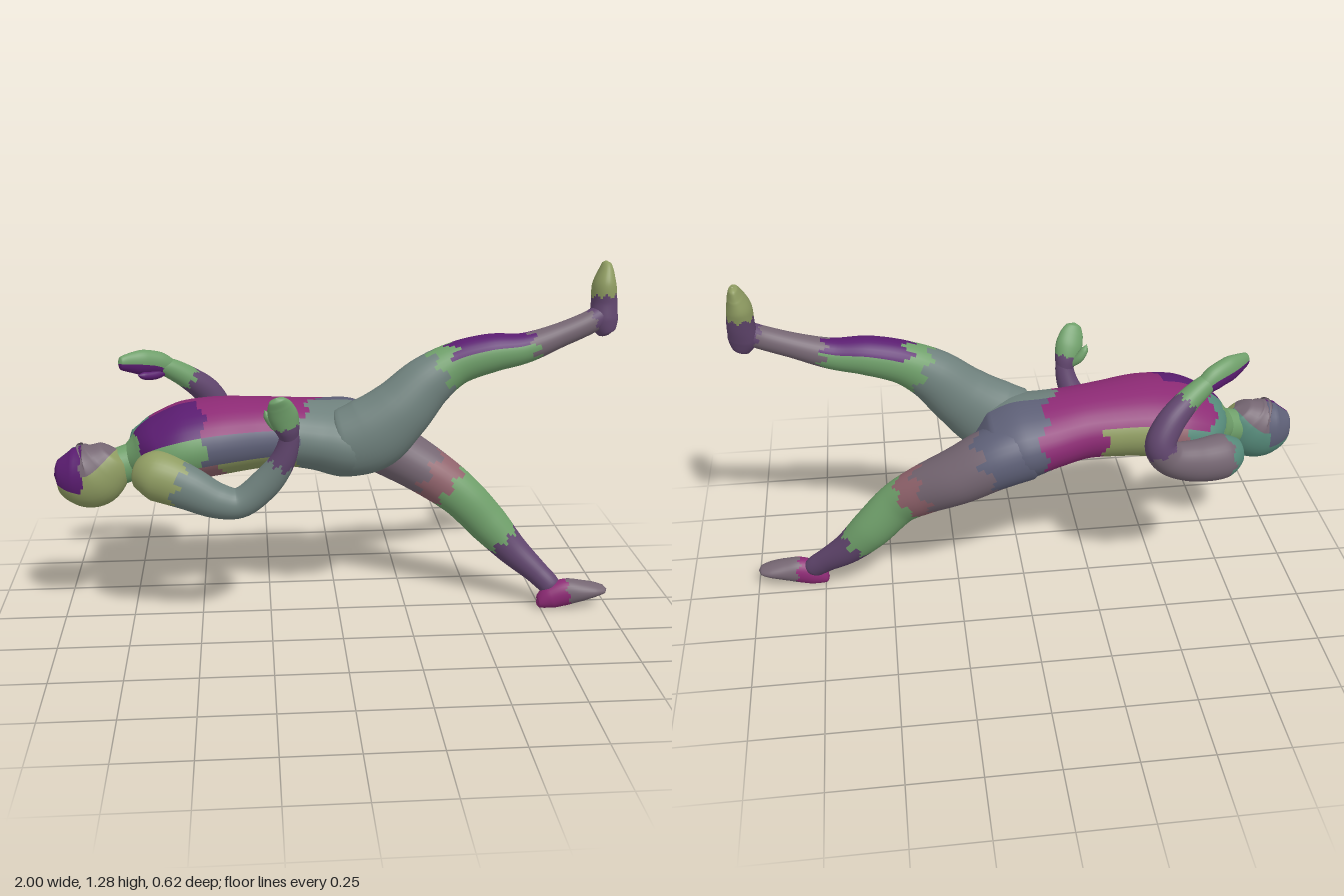
import * as THREE from 'three';

const GREEN = 0x6f9f6a, TEAL = 0x568a7a, GREY = 0x6f817d, OLIVE = 0x8f9c62, MAGENTA = 0x8c2a74,
  PURPLE = 0x5a1c70, VIOLET = 0x61466e, MAUVE = 0x756672, SLATE = 0x5d5f76, ROSE = 0x90636c;

// Smooth body part through cross-sections [x, y, z, half height, half width].
// pick(t, angle) gives the colour; angle 0 is the top, PI / 2 the +z side.
function loft(name, rows, pick, steps = 8, sides = 32) {
  const path = new THREE.CatmullRomCurve3(rows.map(r => new THREE.Vector3(r[0], r[1], r[2])));
  const size = new THREE.CatmullRomCurve3(rows.map(r => new THREE.Vector3(r[3], r[4], 0)));
  const n = (rows.length - 1) * steps, pos = [], all = [], byColor = new Map();
  for (let i = 0; i <= n; i++) {
    const t = i / n, p = path.getPoint(t), r = size.getPoint(t), T = path.getTangent(t);
    const S = new THREE.Vector3(0, 0, 1).addScaledVector(T, -T.z).normalize();
    const U = new THREE.Vector3().crossVectors(S, T);
    for (let j = 0; j < sides; j++) {
      const a = j / sides * Math.PI * 2;
      const v = p.clone().addScaledVector(U, Math.cos(a) * Math.max(r.x, 0.001))
        .addScaledVector(S, Math.sin(a) * Math.max(r.y, 0.001));
      pos.push(v.x, v.y, v.z);
      if (i === n) continue;
      const k = (j + 1) % sides, A = i * sides + j, B = i * sides + k;
      const face = [A, B, A + sides, B, B + sides, A + sides];
      // A small wave keeps the colour borders ragged
      const u = THREE.MathUtils.clamp((i + 0.5) / n + 0.014 * Math.sin(a * 7 + 1), 0, 1);
      const color = pick(u, (j + 0.5) / sides * Math.PI * 2);
      if (!byColor.has(color)) byColor.set(color, []);
      byColor.get(color).push(...face);
      all.push(...face);
    }
  }
  const base = new THREE.BufferGeometry();
  base.setAttribute('position', new THREE.Float32BufferAttribute(pos, 3));
  base.setIndex(all);
  base.computeVertexNormals();
  const group = new THREE.Group();
  group.name = name;
  for (const [color, index] of byColor) {
    const g = new THREE.BufferGeometry();
    g.setAttribute('position', base.attributes.position);
    g.setAttribute('normal', base.attributes.normal);
    g.setIndex(index);
    const mesh = new THREE.Mesh(g, new THREE.MeshStandardMaterial({ color }));
    mesh.name = name + 'Patch';
    group.add(mesh);
  }
  return group;
}

// Colour bands along a part: [end of band, colour], ...
const bands = (...list) => t => list.find(b => t <= b[0])[1];

export function createModel() {
  const body = new THREE.Group();
  body.name = 'body';

  // Head, from crown to jaw, with the face upward
  body.add(loft('head', [
    [-1, 0.57, 0.045, 0, 0], [-0.985, 0.571, 0.045, 0.055, 0.045], [-0.935, 0.568, 0.045, 0.1, 0.076],
    [-0.87, 0.57, 0.044, 0.12, 0.085], [-0.82, 0.607, 0.042, 0.102, 0.073],
    [-0.79, 0.645, 0.04, 0.063, 0.052], [-0.779, 0.66, 0.04, 0, 0],
  ], (t, a) => {
    const c = Math.cos(a);
    if (t < 0.42 && c > -0.3) return a < Math.PI ? PURPLE : SLATE;
    if (c > 0.1) return MAUVE;
    return a < Math.PI ? OLIVE : TEAL;
  }));
  body.add(loft('neck', [
    [-0.86, 0.575, 0.042, 0.06, 0.055], [-0.79, 0.588, 0.03, 0.066, 0.057],
    [-0.72, 0.607, 0.012, 0.067, 0.062], [-0.64, 0.63, 0, 0.08, 0.09],
  ], () => GREEN));

  // Torso, chest up
  body.add(loft('torso', [
    [-0.75, 0.602, 0.01, 0.05, 0.05], [-0.69, 0.623, 0.005, 0.085, 0.12], [-0.63, 0.652, 0, 0.112, 0.178],
    [-0.53, 0.675, 0, 0.135, 0.195], [-0.43, 0.688, -0.005, 0.134, 0.186], [-0.3, 0.692, -0.02, 0.125, 0.165],
    [-0.2, 0.69, -0.03, 0.12, 0.156], [-0.08, 0.676, -0.04, 0.125, 0.175], [0.02, 0.66, -0.045, 0.138, 0.19],
    [0.12, 0.645, -0.05, 0.118, 0.165], [0.19, 0.64, -0.05, 0.02, 0.03],
  ], (t, a) => {
    const c = Math.cos(a), front = a < Math.PI;
    if (t > 0.68 - 0.06 * Math.sin(a)) return front ? GREY : SLATE;
    if (t < 0.13) return GREEN;
    if (c > 0.35) return t < 0.36 && front ? PURPLE : t < 0.2 ? TEAL : MAGENTA;
    if (c > -0.35 && front) return t < 0.35 ? GREEN : SLATE;
    if (t > 0.55) return front ? OLIVE : MAGENTA;
    return t < 0.28 ? TEAL : t < 0.4 ? ROSE : OLIVE;
  }));

  // Raised right leg and its upright foot
  body.add(loft('raisedLeg', [
    [-0.04, 0.65, 0.04, 0.05, 0.05], [0.02, 0.665, 0.045, 0.125, 0.095], [0.11, 0.697, 0.047, 0.136, 0.1],
    [0.21, 0.778, 0.045, 0.116, 0.095], [0.31, 0.878, 0.035, 0.095, 0.081], [0.41, 0.941, 0.026, 0.077, 0.069],
    [0.53, 0.976, 0.026, 0.069, 0.066], [0.65, 0.992, 0.026, 0.054, 0.053], [0.78, 1.037, 0.02, 0.043, 0.042],
    [0.87, 1.073, 0.014, 0.041, 0.038], [0.925, 1.1, 0.006, 0.04, 0.036], [0.955, 1.11, 0.004, 0.012, 0.02],
  ], (t, a) => t < 0.41 ? GREY : t < 0.66 ? (Math.cos(a) > 0.3 && t > 0.46 ? PURPLE : GREEN) : t < 0.85 ? MAUVE : VIOLET));
  body.add(loft('raisedFoot', [
    [0.95, 1.03, 0.01, 0, 0], [0.945, 1.04, 0.009, 0.032, 0.03], [0.934, 1.085, 0.003, 0.049, 0.043],
    [0.934, 1.14, -0.008, 0.046, 0.047], [0.932, 1.2, -0.014, 0.042, 0.054],
    [0.938, 1.25, -0.026, 0.027, 0.041], [0.941, 1.278, -0.036, 0.014, 0.024], [0.942, 1.286, -0.037, 0, 0],
  ], bands([0.5, VIOLET], [1, OLIVE])));

  // Lowered left leg and its pointed foot
  body.add(loft('loweredLeg', [
    [-0.06, 0.66, -0.125, 0.04, 0.04], [0, 0.655, -0.13, 0.11, 0.1], [0.11, 0.63, -0.132, 0.111, 0.112],
    [0.24, 0.56, -0.12, 0.1, 0.107], [0.37, 0.482, -0.083, 0.089, 0.086], [0.46, 0.415, -0.058, 0.081, 0.07],
    [0.56, 0.308, -0.05, 0.075, 0.068], [0.65, 0.21, -0.027, 0.059, 0.055],
    [0.74, 0.13, 0.012, 0.044, 0.041], [0.785, 0.085, 0.035, 0.04, 0.036], [0.8, 0.05, 0.045, 0.015, 0.015],
  ], bands([0.22, SLATE], [0.38, MAUVE], [0.45, ROSE], [0.66, GREEN], [1, VIOLET])));
  body.add(loft('loweredFoot', [
    [0.735, 0.025, 0.05, 0, 0], [0.742, 0.025, 0.05, 0.02, 0.024], [0.785, 0.046, 0.05, 0.046, 0.039],
    [0.84, 0.064, 0.052, 0.051, 0.042], [0.9, 0.07, 0.055, 0.039, 0.045],
    [0.95, 0.073, 0.055, 0.025, 0.042], [0.985, 0.073, 0.056, 0.013, 0.027], [0.996, 0.073, 0.056, 0, 0],
  ], bands([0.45, MAGENTA], [1, MAUVE])));

  // Right arm, bent at the elbow with the hand up
  body.add(loft('rightArm', [
    [-0.715, 0.615, 0.15, 0, 0], [-0.695, 0.613, 0.16, 0.055, 0.05], [-0.63, 0.608, 0.184, 0.088, 0.08],
    [-0.53, 0.57, 0.206, 0.077, 0.064], [-0.43, 0.523, 0.213, 0.062, 0.056], [-0.355, 0.512, 0.21, 0.053, 0.052],
    [-0.27, 0.577, 0.215, 0.053, 0.051], [-0.205, 0.67, 0.233, 0.043, 0.042],
    [-0.183, 0.75, 0.247, 0.034, 0.03], [-0.185, 0.79, 0.254, 0.03, 0.025],
  ], bands([0.3, OLIVE], [0.76, GREY], [1, VIOLET])));
  body.add(loft('rightHand', [
    [-0.183, 0.75, 0.247, 0.03, 0.028], [-0.19, 0.79, 0.257, 0.042, 0.034], [-0.202, 0.835, 0.27, 0.05, 0.03],
    [-0.215, 0.875, 0.288, 0.043, 0.021], [-0.224, 0.9, 0.302, 0.027, 0.014], [-0.227, 0.91, 0.306, 0, 0],
  ], bands([0.25, VIOLET], [1, GREEN])));
  body.add(loft('rightThumb', [
    [-0.205, 0.77, 0.245, 0.014, 0.014], [-0.235, 0.8, 0.235, 0.017, 0.017],
    [-0.255, 0.83, 0.238, 0.014, 0.014], [-0.264, 0.85, 0.243, 0, 0],
  ], () => GREEN, 5, 14));

  // Left arm, bent back so the hand lies above the shoulder
  body.add(loft('leftArm', [
    [-0.76, 0.612, -0.165, 0, 0], [-0.738, 0.612, -0.17, 0.05, 0.045], [-0.665, 0.613, -0.197, 0.083, 0.076],
    [-0.56, 0.625, -0.23, 0.076, 0.064], [-0.47, 0.66, -0.25, 0.061, 0.055], [-0.437, 0.715, -0.256, 0.054, 0.052],
    [-0.468, 0.785, -0.236, 0.051, 0.047], [-0.53, 0.846, -0.203, 0.043, 0.042],
    [-0.59, 0.888, -0.178, 0.037, 0.034], [-0.63, 0.908, -0.16, 0.03, 0.028],
  ], bands([0.2, TEAL], [0.52, MAUVE], [0.78, VIOLET], [1, GREEN])));
  body.add(loft('leftHand', [
    [-0.59, 0.888, -0.18, 0.032, 0.028], [-0.635, 0.912, -0.16, 0.044, 0.032], [-0.685, 0.925, -0.134, 0.046, 0.032],
    [-0.73, 0.932, -0.108, 0.036, 0.024], [-0.762, 0.935, -0.086, 0.023, 0.016], [-0.77, 0.935, -0.081, 0, 0],
  ], (t, a) => Math.cos(a) > 0 ? PURPLE : GREEN));
  body.add(loft('leftThumb', [
    [-0.61, 0.885, -0.165, 0.014, 0.014], [-0.645, 0.878, -0.138, 0.017, 0.017],
    [-0.685, 0.882, -0.11, 0.014, 0.014], [-0.705, 0.888, -0.095, 0, 0],
  ], () => PURPLE, 5, 14));

  return body;
}
